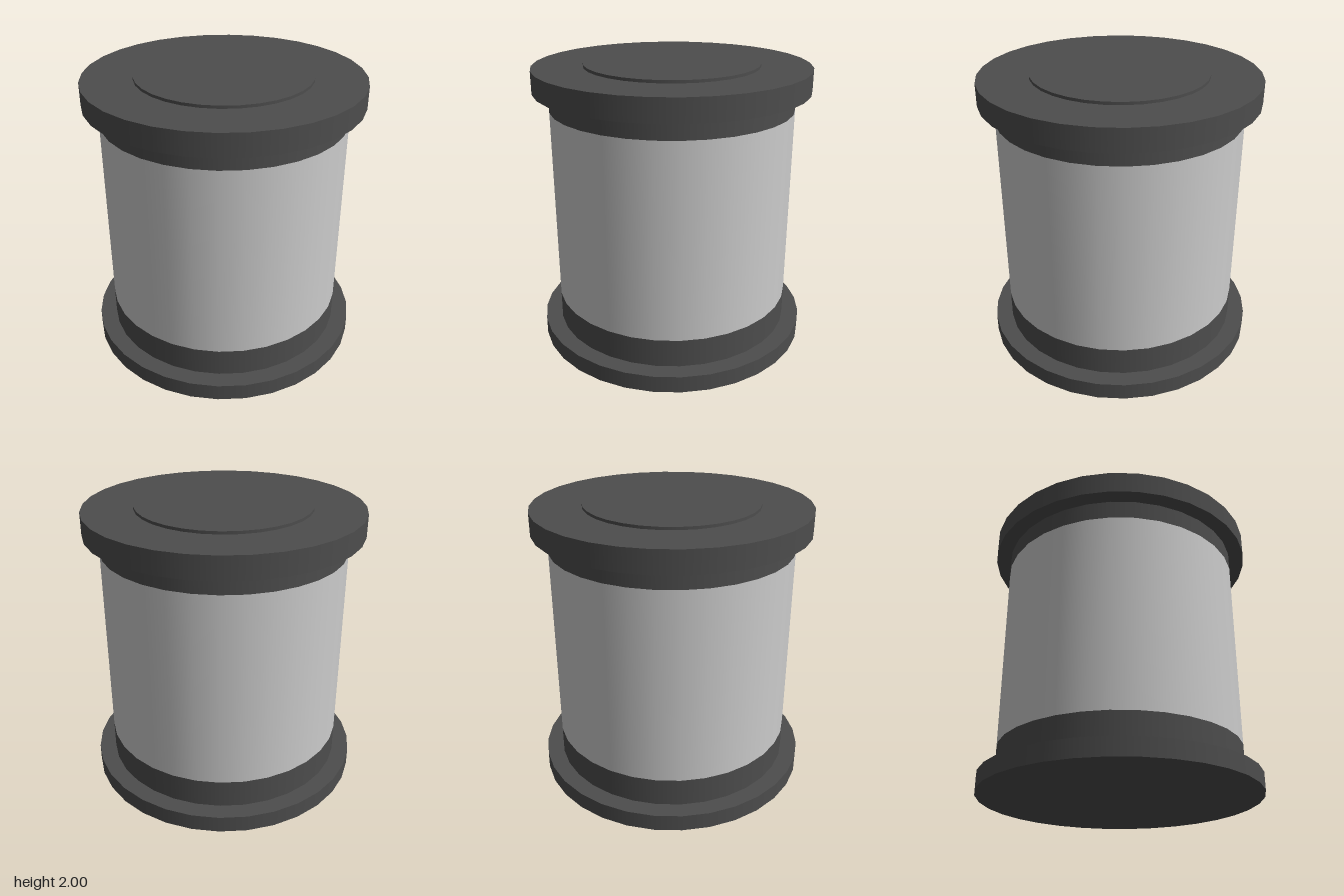
import * as THREE from 'three';

export function createModel() {
  const group = new THREE.Group();
  const dark = new THREE.MeshStandardMaterial({ color: 0x4d4d4d });
  const grey = new THREE.MeshStandardMaterial({ color: 0xcccccc });

  // Each part is an upright drum between two heights
  const drum = (name, radius, bottom, top, material) => {
    const mesh = new THREE.Mesh(
      new THREE.CylinderGeometry(radius, radius, top - bottom, 32),
      material
    );
    mesh.name = name;
    mesh.position.y = (bottom + top) / 2;
    group.add(mesh);
  };

  // Base flange and the band above it
  drum('baseFlange', 0.97, 0, 0.12, dark);
  drum('lowerBand', 0.85, 0.12, 0.32, dark);

  // Main body
  drum('body', 0.85, 0.32, 1.695, grey);

  // Upper band, lid and raised disc
  drum('upperBand', 0.85, 1.695, 1.825, dark);
  drum('lid', 0.957, 1.825, 1.98, dark);
  drum('lidDisc', 0.606, 1.98, 2, dark);

  return group;
}
